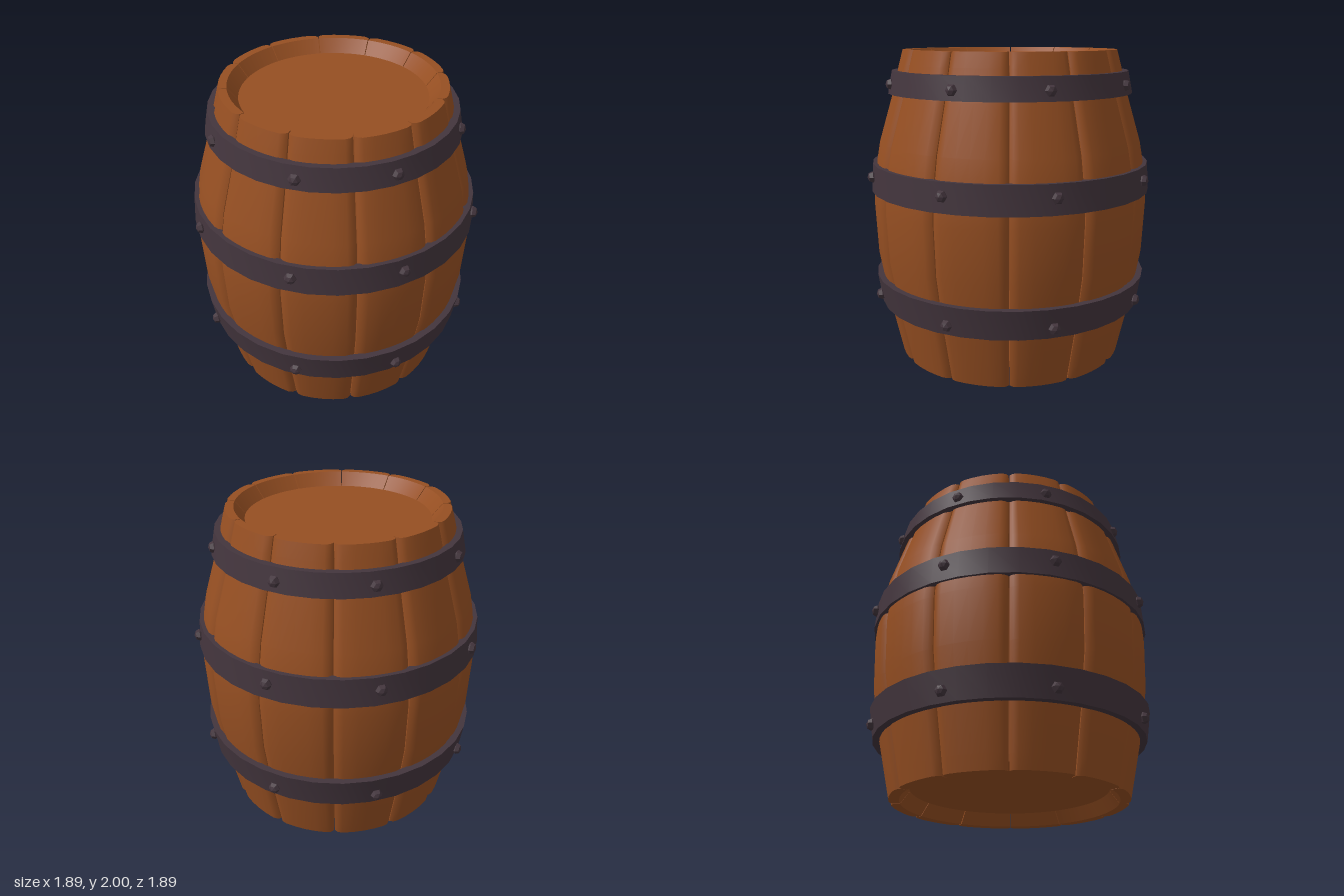
import * as THREE from 'three';
import { toCreasedNormals } from 'three/addons/utils/BufferGeometryUtils.js';

const STAVES = 12;

// Stave rows from bottom to top: height, outer radius, inner radius
const ROWS = [
  [0, 0.745, 0.68], [0.09, 0.765, 0.615], [0.36, 0.825, 0.66], [0.7, 0.885, 0.7],
  [1.03, 0.9, 0.7], [1.2, 0.89, 0.7], [1.42, 0.85, 0.68], [1.72, 0.76, 0.62],
  [1.91, 0.712, 0.565], [2, 0.687, 0.635],
];

// Position across the stave (-1 to 1) and how far the rounded edge drops there
const ACROSS = [
  [-1, 0.024], [-0.9, 0.007], [-0.75, 0], [-0.38, 0], [0, 0],
  [0.38, 0], [0.75, 0], [0.9, 0.007], [1, 0.024],
];

// One closed plank made of cross-section loops, facing +z
function staveGeometry() {
  const half = Math.PI / STAVES;
  const positions = [], index = [];
  const n = ACROSS.length, loop = n * 2;
  for (const [y, outer, inner] of ROWS) {
    const gap = 0.003 / outer;
    const add = (u, r) => {
      const a = u * (half - gap);
      positions.push(Math.sin(a) * r, y, Math.cos(a) * r);
    };
    ACROSS.forEach(([u, drop]) => add(u, outer - drop));
    [...ACROSS].reverse().forEach(([u]) => add(u, inner));
  }
  for (let i = 0; i < ROWS.length - 1; i++) {
    for (let j = 0; j < loop; j++) {
      const a = i * loop + j, b = i * loop + (j + 1) % loop;
      index.push(a, b, b + loop, a, b + loop, a + loop);
    }
  }
  // End grain
  const top = (ROWS.length - 1) * loop;
  for (let k = 0; k < n - 1; k++) {
    const a = k, b = k + 1, c = loop - 2 - k, d = loop - 1 - k;
    index.push(top + a, top + b, top + c, top + a, top + c, top + d);
    index.push(a, c, b, a, d, c);
  }
  const geometry = new THREE.BufferGeometry();
  geometry.setAttribute('position', new THREE.Float32BufferAttribute(positions, 3));
  geometry.setIndex(index);
  return toCreasedNormals(geometry, 0.7);
}

// Iron hoop with a slanted outer face
function hoopGeometry(y0, r0, y1, r1) {
  const t = 0.045;
  const profile = [[r0 - t, y0], [r0, y0], [r1, y1], [r1 - t, y1], [r0 - t, y0]]
    .map(([x, y]) => new THREE.Vector2(x, y));
  return toCreasedNormals(new THREE.LatheGeometry(profile, 32), 0.6);
}

export function createModel() {
  const wood = new THREE.MeshStandardMaterial({ color: 0x964f22 });
  wood.name = 'wood';
  const iron = new THREE.MeshStandardMaterial({ color: 0x43353d });
  iron.name = 'iron';

  const barrel = new THREE.Group();
  barrel.name = 'barrel';
  const add = (name, geometry, material, parent = barrel) => {
    const mesh = new THREE.Mesh(geometry, material);
    mesh.name = name;
    parent.add(mesh);
    return mesh;
  };

  // Ring of staves
  const staves = new THREE.Group();
  staves.name = 'staves';
  barrel.add(staves);
  const stave = staveGeometry();
  for (let i = 0; i < STAVES; i++) {
    add('stave', stave, wood, staves).rotation.y = (i / STAVES) * Math.PI * 2;
  }

  // Recessed heads at both ends
  add('topHead', new THREE.CylinderGeometry(0.585, 0.585, 0.04, 36), wood).position.y = 1.9;
  add('bottomHead', new THREE.CylinderGeometry(0.635, 0.635, 0.04, 36), wood).position.y = 0.1;

  // Hoops with eight rivets each
  const rivet = toCreasedNormals(
    new THREE.SphereGeometry(0.038, 6, 4).rotateX(Math.PI / 2).scale(1, 1, 0.85), 0.3);
  const hoops = [
    { name: 'lowerHoop', y0: 0.36, r0: 0.87, y1: 0.55, r1: 0.9, rivetY: 0.425, rivetR: 0.885 },
    { name: 'middleHoop', y0: 1.11, r0: 0.915, y1: 1.29, r1: 0.902, rivetY: 1.21, rivetR: 0.912 },
    { name: 'upperHoop', y0: 1.73, r0: 0.79, y1: 1.87, r1: 0.762, rivetY: 1.79, rivetR: 0.776 },
  ];
  for (const h of hoops) {
    const group = new THREE.Group();
    group.name = h.name;
    barrel.add(group);
    add('band', hoopGeometry(h.y0, h.r0, h.y1, h.r1), iron, group);
    for (let i = 0; i < 8; i++) {
      const degrees = Math.floor(i / 2) * 90 + (i % 2 ? 50.3 : 2.4);
      const a = THREE.MathUtils.degToRad(degrees);
      const mesh = add('rivet', rivet, iron, group);
      mesh.position.set(Math.sin(a) * h.rivetR, h.rivetY, Math.cos(a) * h.rivetR);
      mesh.rotation.y = a;
    }
  }
  return barrel;
}
